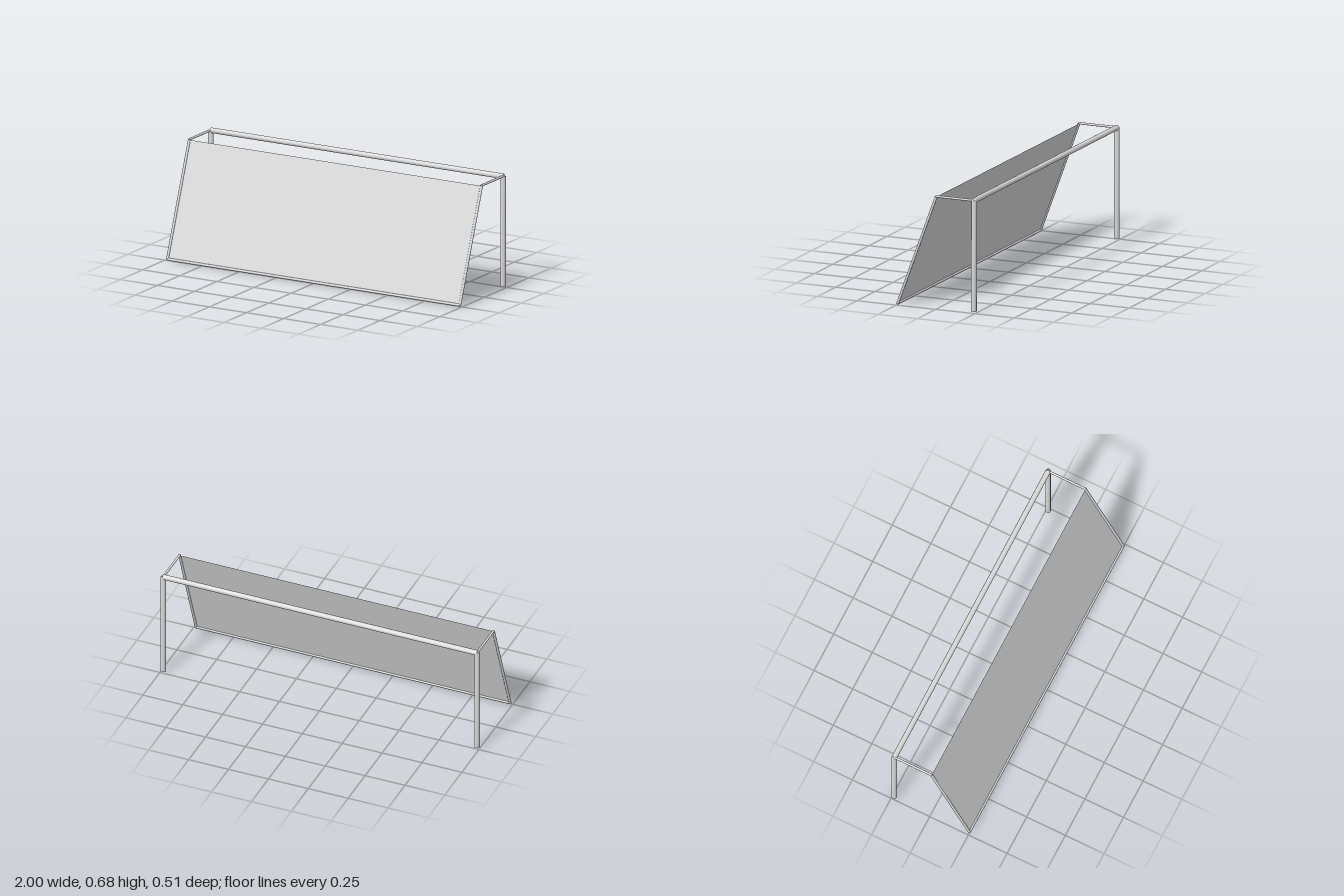
import * as THREE from 'three';
import { mergeVertices } from 'three/addons/utils/BufferGeometryUtils.js';

const HALF = 0.984; // half distance between the posts
const BACK = -0.237; // z of the upright posts and crossbar
const TOP = 0.666;
const FOOT = new THREE.Vector3(0, 0.008, 0.248); // lower edge of the sloping net
const PEAK = new THREE.Vector3(0, 0.664, 0.004); // upper edge of the sloping net

export function createModel() {
  const group = new THREE.Group();
  const metal = new THREE.MeshStandardMaterial({ color: 0xdadada });
  metal.name = 'pale grey';
  const netting = new THREE.MeshStandardMaterial({ color: 0xd9d9d9, side: THREE.DoubleSide });
  netting.name = 'net grey';

  // Straight capped tube between two points, with normals shared across the end rims
  function pipe(name, a, b, radius) {
    const dir = b.clone().sub(a);
    let geo = new THREE.CylinderGeometry(radius, radius, dir.length(), 14);
    geo.deleteAttribute('uv');
    geo.deleteAttribute('normal');
    geo = mergeVertices(geo, 1e-5);
    geo.computeVertexNormals();
    const mesh = new THREE.Mesh(geo, metal);
    mesh.name = name;
    mesh.position.copy(a).add(b).multiplyScalar(0.5);
    mesh.quaternion.setFromUnitVectors(new THREE.Vector3(0, 1, 0), dir.normalize());
    group.add(mesh);
  }
  const at = (x, y, z) => new THREE.Vector3(x, y, z);

  // Uprights, top arms and sloping stays, mirrored on both sides
  for (const [side, s] of [['left', 1], ['right', -1]]) {
    const x = s * HALF;
    pipe(side + 'Post', at(x, 0.009, BACK), at(x, TOP, BACK), 0.016);
    pipe(side + 'TopArm', at(x, 0.667, BACK), at(x, 0.667, 0.005), 0.007);
    pipe(side + 'Stay', at(x, FOOT.y, FOOT.z), at(x, PEAK.y, PEAK.z), 0.008);
  }

  // Long bars
  pipe('crossbar', at(-HALF, TOP, BACK), at(HALF, TOP, BACK), 0.016);
  pipe('groundBar', at(-HALF, FOOT.y, FOOT.z), at(HALF, FOOT.y, FOOT.z), 0.008);

  // Flat sloping net panel
  const slope = PEAK.clone().sub(FOOT);
  const net = new THREE.Mesh(new THREE.PlaneGeometry(2 * HALF, slope.length()), netting);
  net.name = 'net';
  net.position.copy(FOOT).add(PEAK).multiplyScalar(0.5);
  net.rotation.x = Math.atan2(slope.z, slope.y);
  group.add(net);

  return group;
}
